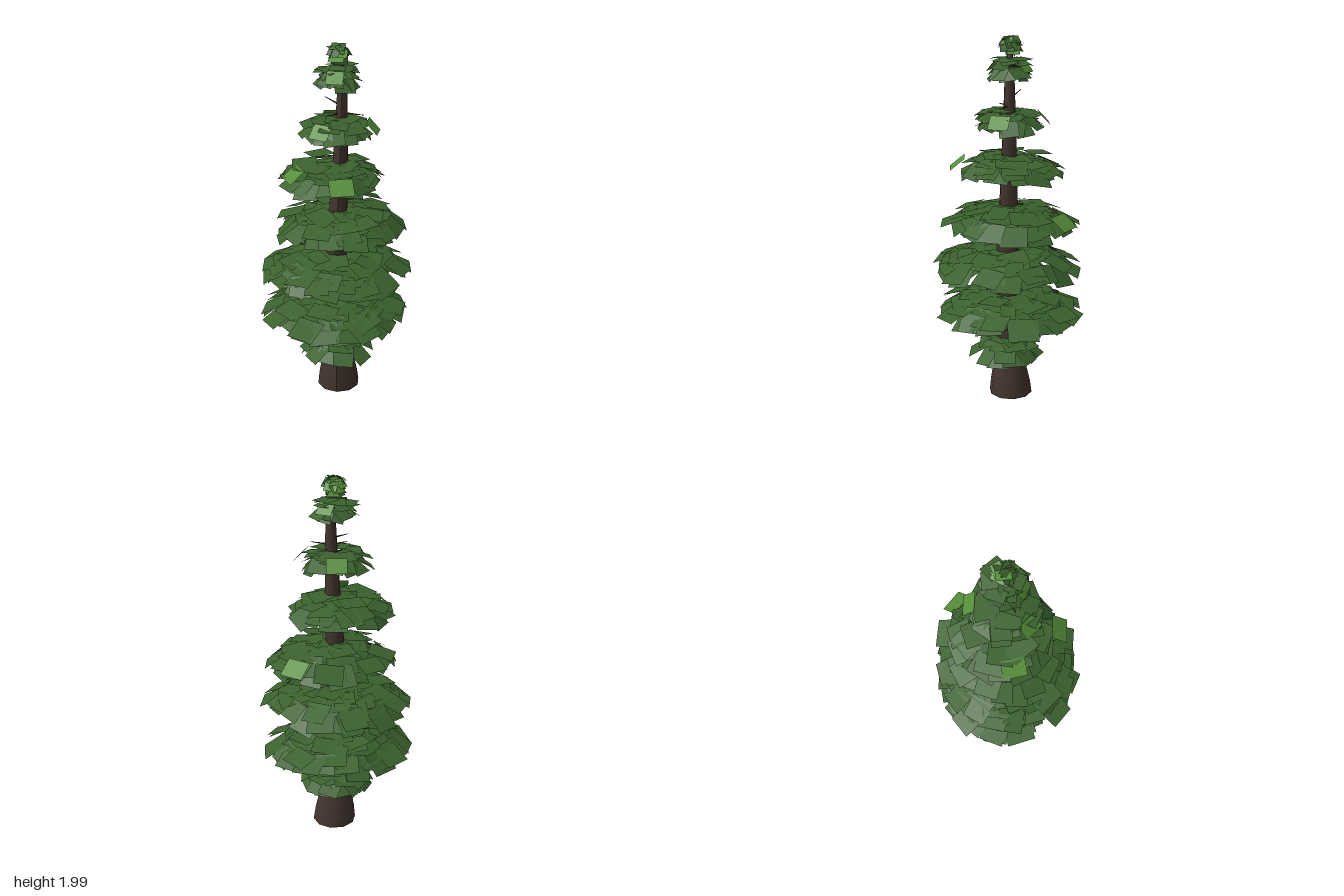
import * as THREE from 'three';
import { mergeGeometries } from 'three/addons/utils/BufferGeometryUtils.js';

// Small seeded generator for natural variation
function seeded(seed) {
  let s = seed;
  return () => {
    s = (s * 1664525 + 1013904223) % 4294967296;
    return s / 4294967296;
  };
}

// Trunk sections: y, radius, centre x, centre z
const TRUNK = [
  [0, 0.12, 0.015, -0.028], [0.09, 0.109, 0.013, -0.026], [0.2, 0.084, 0.01, -0.02],
  [0.3, 0.073, 0.005, -0.015], [0.6, 0.066, 0.0, -0.01], [0.9, 0.057, 0.006, -0.012],
  [1.2, 0.047, 0.018, -0.018], [1.5, 0.036, 0.028, -0.023], [1.78, 0.026, 0.034, -0.025],
  [1.93, 0.012, 0.02, -0.025],
];

function trunkAt(y) {
  let i = 0;
  while (i < TRUNK.length - 2 && TRUNK[i + 1][0] < y) i++;
  const a = TRUNK[i], b = TRUNK[i + 1];
  const t = THREE.MathUtils.clamp((y - a[0]) / (b[0] - a[0]), 0, 1);
  return a.map((v, k) => THREE.MathUtils.lerp(v, b[k], t));
}

// Leaning, flared, open-ended trunk made by bending a cylinder
function trunkGeometry() {
  const top = 1.93;
  const geo = new THREE.CylinderGeometry(1, 1, top, 10, 26, true);
  const p = geo.attributes.position;
  for (let i = 0; i < p.count; i++) {
    const y = p.getY(i) + top / 2;
    const [, r, cx, cz] = trunkAt(y);
    p.setXYZ(i, p.getX(i) * r + cx, y, p.getZ(i) * r + cz);
  }
  geo.computeVertexNormals();
  return geo;
}

// Flat needle card whose inner edge sits at radius r and which droops outward
function card(w, len, r, y, yaw, droop, roll, twist, cx, cz) {
  return new THREE.PlaneGeometry(w, len)
    .rotateX(-Math.PI / 2)
    .rotateY(twist)
    .rotateZ(roll)
    .translate(0, 0, len / 2)
    .rotateX(droop)
    .translate(0, y, r)
    .rotateY(yaw)
    .translate(cx, 0, cz);
}

// Thin tapered branch running outward from the trunk
function branch(len, r, y, yaw, tilt) {
  const [, , cx, cz] = trunkAt(y);
  return new THREE.CylinderGeometry(r * 0.25, r, len, 5)
    .translate(0, len / 2, 0)
    .rotateX(Math.PI / 2 + tilt)
    .rotateY(yaw)
    .translate(cx, y, cz);
}

// Tiers from the ground up; fresh lists the x, z spots of the bright cards
const TIERS = [
  { top: 0.345, radius: 0.195, cx: 0.01, cz: -0.018, size: 0.125, rows: 3, droop: 0.75, fresh: [] },
  { top: 0.595, radius: 0.385, cx: -0.004, cz: -0.025, size: 0.15, rows: 5, droop: 0.58, fresh: [] },
  { top: 0.855, radius: 0.385, cx: -0.004, cz: -0.005, size: 0.15, rows: 5, droop: 0.58, fresh: [] },
  { top: 1.105, radius: 0.34, cx: 0.03, cz: -0.025, size: 0.145, rows: 5, droop: 0.55, fresh: [[0.16, -0.33]] },
  { top: 1.375, radius: 0.27, cx: -0.015, cz: -0.02, size: 0.14, rows: 4, droop: 0.58, fresh: [[-0.21, 0.08], [0.05, 0.25]] },
  { top: 1.62, radius: 0.185, cx: 0.01, cz: -0.022, size: 0.12, rows: 3, droop: 0.72, fresh: [[0.2, 0], [-0.03, -0.2], [-0.07, 0.13]] },
  { top: 1.885, radius: 0.118, cx: 0.015, cz: -0.022, size: 0.1, rows: 3, droop: 0.8, fresh: [[0.05, -0.12], [-0.07, -0.04], [0, 0.08]] },
];

export function createModel() {
  const group = new THREE.Group();
  const bark = new THREE.MeshStandardMaterial({ color: 0x43342d, side: THREE.DoubleSide });
  const twig = new THREE.MeshStandardMaterial({ color: 0x33251f });
  const needles = new THREE.MeshStandardMaterial({ color: 0x3b612e, side: THREE.DoubleSide });
  const freshNeedles = new THREE.MeshStandardMaterial({ color: 0x568f3a, side: THREE.DoubleSide });
  for (const [m, n] of [[bark, 'bark brown'], [twig, 'twig brown'], [needles, 'needle green'], [freshNeedles, 'fresh green']]) m.name = n;

  const rand = seeded(77);
  const vary = (a) => (rand() * 2 - 1) * a;
  const add = (name, geos, mat) => {
    if (!geos.length) return;
    const mesh = new THREE.Mesh(mergeGeometries(geos), mat);
    mesh.name = name;
    group.add(mesh);
  };

  add('trunk', [trunkGeometry()], bark);

  // Foliage tiers: flat overlapping rows of cards with a drooping fringe
  TIERS.forEach(({ top, radius, cx, cz, size, rows, droop, fresh }, i) => {
    const len = size * 0.85;
    const cards = [];
    for (let row = 0; row < rows; row++) {
      const t = row / (rows - 1);
      const inner = THREE.MathUtils.lerp(0.01, radius - len * 0.86, t);
      const y = top - 0.014 - 0.036 * t * t;
      const pitch = 0.12 + (droop - 0.12) * t * t;
      const count = Math.max(5, Math.round((Math.PI * 2 * (inner + len / 2)) / (size * 0.5)));
      for (let k = 0; k < count; k++) {
        const yaw = ((k + row * 0.5) / count) * Math.PI * 2 + vary(0.15);
        cards.push(card(size * (0.95 + vary(0.15)), len * (1 + vary(0.15)),
          inner + vary(t < 1 ? 0.03 : 0.018), y + vary(0.012), yaw,
          pitch + vary(0.1 + 0.14 * t), vary(0.14), vary(0.25), cx, cz));
      }
    }
    add(`foliageTier${i + 1}`, cards, needles);

    // Bright young cards lying just above the others
    add(`freshFoliage${i + 1}`, fresh.map(([x, z]) => {
      const r = Math.hypot(x - cx, z - cz) - 0.035;
      return card(size * 0.9, len * 0.85, r, top - 0.02, Math.atan2(x - cx, z - cz), droop + 0.1, 0, 0, cx, cz);
    }), freshNeedles);

    // Branches hidden beneath the cards
    const n = radius > 0.25 ? 6 : 4;
    add(`branches${i + 1}`, Array.from({ length: n }, (_, k) =>
      branch(radius * 0.6, 0.01, top - 0.045, (k / n) * Math.PI * 2 + vary(0.2), 0.03)), twig);
  });

  // Tuft at the tip: small cards turned every way
  const tuft = [], freshTuft = [];
  for (let k = 0; k < 18; k++) {
    const a = k * 2.4;
    const h = 1 - (2 * (k + 0.5)) / 18;
    const s = Math.sqrt(1 - h * h) * 0.036;
    const g = new THREE.PlaneGeometry(0.075, 0.055)
      .rotateX(-Math.PI / 2 + Math.acos(h) * 0.5 + vary(0.45))
      .rotateY(a + vary(0.6))
      .translate(0.012 + Math.sin(a) * s, 1.942 + h * 0.036, -0.025 + Math.cos(a) * s);
    (k % 5 < 2 ? tuft : freshTuft).push(g);
  }
  add('tipTuft', tuft, needles);
  add('freshTipTuft', freshTuft, freshNeedles);

  // Bare twigs on the upper trunk
  add('bareTwigs', [[1.665, -2.0, 0.11, -0.35], [1.63, 1.3, 0.12, 0], [1.63, -0.8, 0.1, 0]]
    .map(([y, yaw, len, tilt]) => branch(len, 0.006, y, yaw, tilt)), twig);

  return group;
}
